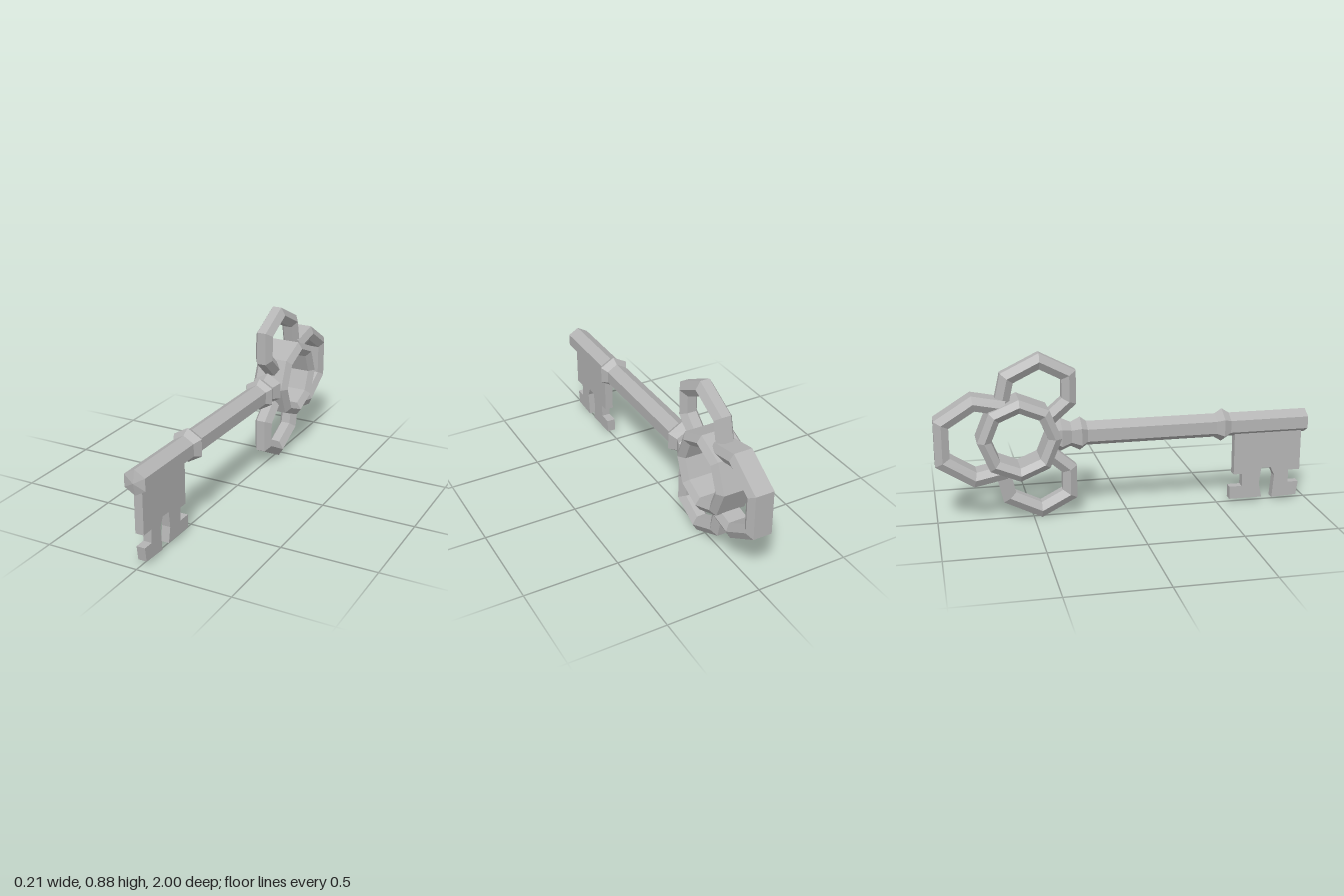
import * as THREE from 'three';

const CY = 0.44; // height of the shaft axis
const BOW_Z = -0.571; // centre of the bow

// Sharp facets for every face
function faceted(geometry) {
  const g = geometry.index ? geometry.toNonIndexed() : geometry;
  g.computeVertexNormals();
  return g;
}

// Sweeps a six-sided section along a counterclockwise outline in the side plane.
// The outline is the outer edge; the section grows inward with mitred corners.
function sweep(path, half, edgeW, midW, closed) {
  const n = path.length;
  const section = [[edgeW, 0], [midW, half], [edgeW, 2 * half], [-edgeW, 2 * half], [-midW, half], [-edgeW, 0]];
  const normal = (a, b) => new THREE.Vector2(a.y - b.y, b.x - a.x).normalize();
  const rings = path.map((p, i) => {
    const hasPrev = closed || i > 0, hasNext = closed || i < n - 1;
    const n1 = hasPrev ? normal(path[(i + n - 1) % n], p) : normal(p, path[i + 1]);
    const n2 = hasNext ? normal(p, path[(i + 1) % n]) : n1;
    const miter = n1.clone().add(n2).divideScalar(1 + n1.dot(n2));
    return section.map(([x, d]) => [x, p.y + miter.y * d, -(p.x + miter.x * d)]);
  });
  const pos = [];
  for (let i = 0; i < (closed ? n : n - 1); i++) {
    const r0 = rings[i], r1 = rings[(i + 1) % n];
    for (let j = 0; j < 6; j++) {
      const k = (j + 1) % 6;
      pos.push(...r0[j], ...r1[j], ...r1[k], ...r0[j], ...r1[k], ...r0[k]);
    }
  }
  const g = new THREE.BufferGeometry();
  g.setAttribute('position', new THREE.Float32BufferAttribute(pos, 3));
  return faceted(g);
}

export function createModel() {
  const group = new THREE.Group();
  const metal = new THREE.MeshStandardMaterial({ color: 0xb4b4b4 });
  metal.name = 'grey metal';
  const add = (name, geometry, z = 0) => {
    const mesh = new THREE.Mesh(geometry, metal);
    mesh.name = name;
    mesh.position.set(0, CY, z);
    group.add(mesh);
  };
  const v2 = (pts) => pts.map(([x, y]) => new THREE.Vector2(x, y));

  // Hexagonal shaft with its collars, radius against z
  const shaft = new THREE.LatheGeometry(v2([
    [0, -0.4], [0.06, -0.39], [0.09, -0.353], [0.065, -0.3], [0.09, -0.25], [0.065, -0.217],
    [0.065, 0.475], [0.09, 0.515], [0.065, 0.555], [0.065, 0.985], [0, 1],
  ]), 6).rotateX(Math.PI / 2);
  add('shaft', faceted(shaft));

  // Toothed bit, z against y
  const bitShape = new THREE.Shape(v2([
    [0.962, 0.41], [0.962, 0.166], [0.898, 0.166], [0.898, 0.096], [0.957, 0.096], [0.946, 0.021],
    [0.807, 0.014], [0.818, 0.14], [0.796, 0.187], [0.743, 0.187], [0.732, 0.1], [0.748, 0.021],
    [0.566, 0.021], [0.566, 0.091], [0.635, 0.091], [0.635, 0.16], [0.587, 0.16], [0.587, 0.41],
  ].map(([z, y]) => [-z, y - CY])));
  const bit = new THREE.ExtrudeGeometry(bitShape, { depth: 0.046, bevelEnabled: false });
  add('bit', faceted(bit.translate(0, 0, -0.023).rotateY(Math.PI / 2)));

  // Wide octagonal ring in the middle of the bow
  const octagon = Array.from({ length: 8 }, (_, i) =>
    [0.217 * Math.cos(i * Math.PI / 4), 0.217 * Math.sin(i * Math.PI / 4)]);
  add('centreRing', sweep(v2(octagon), 0.033, 0.08, 0.105, true), BOW_Z);

  // Upper and lower loops, mirrored, with their ends inside the ring wall
  const loop = [[0.128, 0.161], [0.118, 0.204], [0.086, 0.343], [-0.113, 0.44], [-0.3, 0.343], [-0.3, 0.166], [-0.182, 0.064]];
  const mirrored = loop.map(([x, y]) => [x, -y]).reverse();
  add('upperLoop', sweep(v2(loop), 0.0375, 0.025, 0.05, false), BOW_Z);
  add('lowerLoop', sweep(v2(mirrored), 0.0375, 0.025, 0.05, false), BOW_Z);

  // Wider loop at the back
  const back = [[0.064, -0.206], [0.236, -0.241], [0.429, -0.12], [0.429, 0.12], [0.236, 0.241], [0.064, 0.206]];
  add('backLoop', sweep(v2(back), 0.0375, 0.05, 0.07, false), BOW_Z);

  return group;
}
